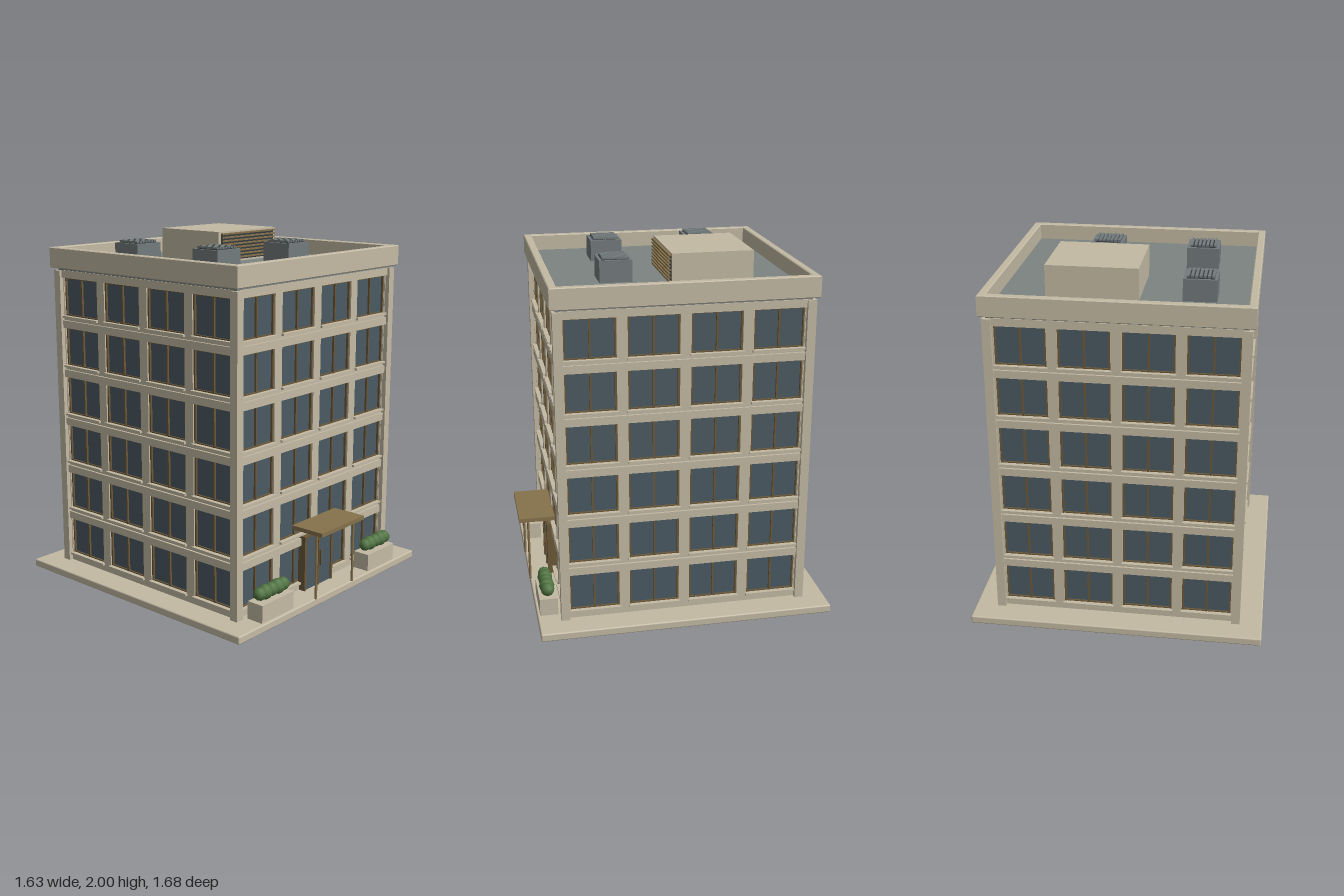
import * as THREE from 'three';
import { mergeGeometries } from 'three/addons/utils/BufferGeometryUtils.js';
import { RoundedBoxGeometry } from 'three/addons/geometries/RoundedBoxGeometry.js';

const paint = (name, color) => {
  const m = new THREE.MeshStandardMaterial({ color });
  m.name = name;
  return m;
};

// box given by its min and max on each axis
const box = (x0, x1, y0, y1, z0, z1) =>
  new THREE.BoxGeometry(x1 - x0, y1 - y0, z1 - z0).translate((x0 + x1) / 2, (y0 + y1) / 2, (z0 + z1) / 2);

const rectPath = (PathType, x0, x1, y0, y1) => {
  const p = new PathType();
  p.moveTo(x0, y0);
  p.lineTo(x1, y0);
  p.lineTo(x1, y1);
  p.lineTo(x0, y1);
  p.closePath();
  return p;
};

export function createModel() {
  const stone = paint('stone', 0xc4baa4);
  const glass = paint('glass', 0x4b5a62);
  const bronze = paint('bronze', 0x6b5838);
  const canopyBronze = paint('canopyBronze', 0x86714c);
  const roofGrey = paint('roofGrey', 0x7c8482);
  const unitGrey = paint('unitGrey', 0x737b7d);
  const dark = paint('dark', 0x343a3d);
  const leaf = paint('leaf', 0x4f7340);

  const model = new THREE.Group();
  model.name = 'officeBuilding';
  const add = (parent, name, geometry, material) => {
    const mesh = new THREE.Mesh(geometry, material);
    mesh.name = name;
    parent.add(mesh);
    return mesh;
  };
  const merged = (parent, name, parts, material) => add(parent, name, mergeGeometries(parts), material);

  // the building is centred on its own axis, slightly behind the origin
  const building = new THREE.Group();
  building.name = 'building';
  building.position.z = -0.027;
  model.add(building);

  const ground = 0.045, floors = 6, pitch = 0.287, sillY = 0.09, winH = 0.22, winW = 0.275;
  const columns = [-0.5, -0.167, 0.167, 0.5];
  const wallZ = 0.665, glassZ = 0.645, wallTop = 1.79;

  add(building, 'basePlinth', new RoundedBoxGeometry(1.63, ground, 1.63, 2, 0.008).translate(0, ground / 2, 0), stone);
  add(building, 'core', box(-0.635, 0.635, ground, wallTop, -0.635, 0.635), stone);

  // one facade, repeated on four sides
  const wallShape = rectPath(THREE.Shape, -0.66, 0.66, ground, wallTop);
  const panes = [], frames = [], sills = [], bands = [];
  for (let f = 0; f < floors; f++) {
    const y0 = sillY + f * pitch, y1 = y0 + winH;
    bands.push(box(-0.65, 0.65, y1, y1 + 0.043, wallZ - 0.01, wallZ + 0.012));
    for (const c of columns) {
      const l = c - winW / 2, r = c + winW / 2;
      wallShape.holes.push(rectPath(THREE.Path, l, r, y0, y1));
      panes.push(box(l, r, y0, y1, glassZ - 0.005, glassZ));
      for (const x of [l + 0.005, c, r - 0.005])
        frames.push(box(x - 0.005, x + 0.005, y0, y1, glassZ - 0.002, glassZ + 0.012));
      for (const y of [y0 + 0.004, y1 - 0.004])
        frames.push(box(l, r, y - 0.004, y + 0.004, glassZ - 0.002, glassZ + 0.01));
      sills.push(box(l - 0.006, r + 0.006, y0 - 0.01, y0 + 0.002, glassZ, wallZ + 0.015));
    }
  }
  const wallGeo = new THREE.ExtrudeGeometry(wallShape, { depth: 0.03, bevelEnabled: false }).translate(0, 0, wallZ - 0.03);
  const paneGeo = mergeGeometries(panes), frameGeo = mergeGeometries(frames);
  const sillGeo = mergeGeometries(sills), bandGeo = mergeGeometries(bands);
  const pierGeo = box(0.642, 0.69, ground, wallTop - 0.005, 0.642, 0.69);
  ['front', 'left', 'back', 'right'].forEach((side, i) => {
    const facade = new THREE.Group();
    facade.name = side + 'Facade';
    facade.rotation.y = i * Math.PI / 2;
    building.add(facade);
    add(facade, 'wall', wallGeo, stone);
    add(facade, 'floorBands', bandGeo, stone);
    add(facade, 'windowSills', sillGeo, stone);
    add(facade, 'windowPanes', paneGeo, glass);
    add(facade, 'windowFrames', frameGeo, bronze);
    add(facade, 'cornerPier', pierGeo, stone);
  });

  // roof slab, deck and parapet ring
  const deckY = 1.825;
  add(building, 'roofSlab', box(-0.672, 0.672, 1.785, 1.802, -0.672, 0.672), roofGrey);
  add(building, 'roofDeck', box(-0.67, 0.67, 1.802, deckY, -0.67, 0.67), roofGrey);
  const ring = rectPath(THREE.Shape, -0.7, 0.7, -0.7, 0.7);
  ring.holes.push(rectPath(THREE.Path, -0.667, 0.667, -0.667, 0.667));
  const parapet = new THREE.ExtrudeGeometry(ring, {
    depth: 0.107, bevelThickness: 0.004, bevelSize: 0.005, bevelSegments: 1,
  });
  add(building, 'parapet', parapet.rotateX(-Math.PI / 2).translate(0, 1.804, 0), stone);

  // plant room with a louvred front
  add(model, 'plantRoom', box(-0.085, 0.41, deckY, 2, -0.45, -0.005), stone);
  add(model, 'louverBacking', box(-0.065, 0.395, deckY + 0.012, 1.985, -0.006, -0.001), dark);
  const slats = [];
  for (let i = 0; i < 8; i++) {
    const y = deckY + 0.02 + i * 0.0195;
    slats.push(box(-0.065, 0.395, y, y + 0.009, -0.005, 0.011));
  }
  merged(model, 'louverSlats', slats, canopyBronze);

  // rooftop cooling units with grilles
  for (const [x, z] of [[-0.4, -0.33], [-0.37, 0.237], [0.18, 0.27]]) {
    const unit = new THREE.Group();
    unit.name = 'coolingUnit';
    unit.position.set(x, deckY, z);
    model.add(unit);
    add(unit, 'unitBody', box(-0.09, 0.09, 0, 0.12, -0.09, 0.09), unitGrey);
    add(unit, 'grillePlate', box(-0.073, 0.073, 0.12, 0.123, -0.073, 0.073), dark);
    const fins = [];
    for (let i = 0; i < 7; i++) {
      const fx = -0.066 + i * 0.022;
      fins.push(box(fx - 0.007, fx + 0.007, 0.12, 0.134, -0.07, 0.07));
    }
    merged(unit, 'grilleFins', fins, unitGrey);
  }

  // entrance doors
  const doorTop = 0.365;
  add(model, 'doorPanes', box(-0.125, 0.125, ground, doorTop - 0.005, 0.63, 0.67), glass);
  const doorFrame = [box(-0.13, 0.13, doorTop - 0.012, doorTop, 0.63, 0.677)];
  for (const x of [-0.122, 0, 0.122]) {
    const w = x ? 0.008 : 0.005;
    doorFrame.push(box(x - w, x + w, ground, doorTop, 0.63, 0.677));
  }
  merged(model, 'doorFrame', doorFrame, bronze);
  const handles = [-0.018, 0.018].map((x) => box(x - 0.003, x + 0.003, 0.16, 0.25, 0.668, 0.68));
  merged(model, 'doorHandles', handles, bronze);

  // canopy on two posts
  add(model, 'canopy', box(-0.197, 0.197, 0.421, 0.444, 0.635, 0.84), canopyBronze);
  for (const x of [-0.17, 0.17])
    add(model, 'canopyPost', new THREE.CylinderGeometry(0.007, 0.007, 0.38, 10).translate(x, 0.235, 0.787), canopyBronze);

  // planters with clipped shrubs
  const shrubs = [[-0.095, 0.036], [-0.052, 0.042], [0, 0.039], [0.05, 0.043], [0.095, 0.038]];
  for (const side of [-1, 1]) {
    const planter = new THREE.Group();
    planter.name = side < 0 ? 'rightPlanter' : 'leftPlanter';
    planter.position.set(side * 0.482, ground, 0.723);
    model.add(planter);
    add(planter, 'planterBox', box(-0.132, 0.132, 0, 0.1, -0.05, 0.05), stone);
    for (const [x, r] of shrubs)
      add(planter, 'shrub', new THREE.IcosahedronGeometry(r, 1).translate(x, 0.142, 0.002), leaf);
  }
  return model;
}
